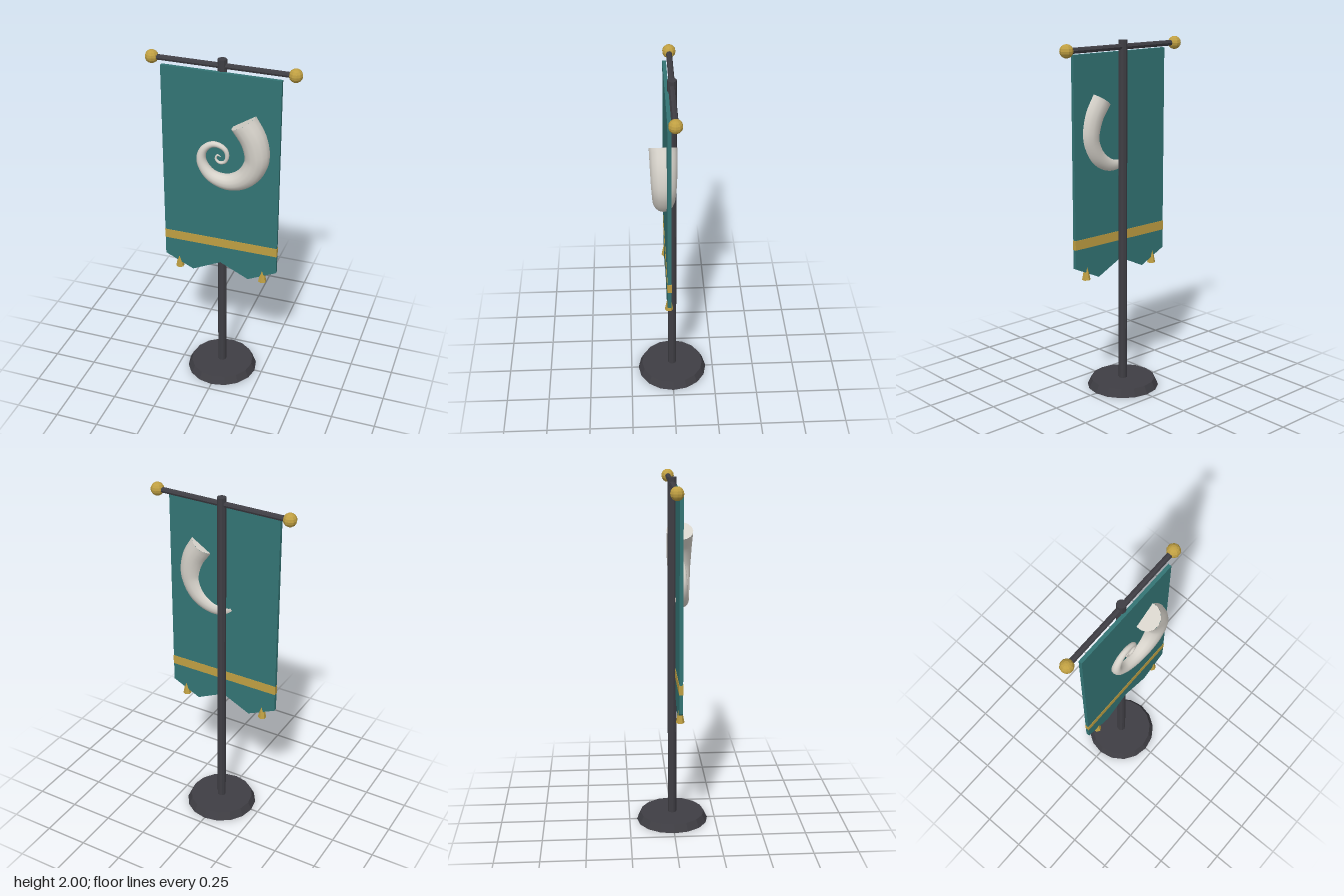
import * as THREE from 'three';

const material = (name, color) => {
  const m = new THREE.MeshStandardMaterial({ color });
  m.name = name;
  return m;
};

// Gives each face its own flat normal
const faceted = (geometry) => {
  const g = geometry.index ? geometry.toNonIndexed() : geometry;
  g.computeVertexNormals();
  return g;
};

// Horn centre line as x, y, radius, from the mouth to the curled tip
const HORN = [
  [0.137, 1.685, 0.076], [0.19, 1.6, 0.073], [0.213, 1.51, 0.069], [0.208, 1.455, 0.065],
  [0.17, 1.38, 0.06], [0.11, 1.333, 0.053], [0.04, 1.315, 0.045], [-0.04, 1.335, 0.036],
  [-0.088, 1.385, 0.03], [-0.104, 1.44, 0.026], [-0.085, 1.495, 0.021], [-0.04, 1.528, 0.017],
  [0, 1.527, 0.015], [0.035, 1.505, 0.013], [0.045, 1.465, 0.011], [0.03, 1.432, 0.009],
  [0, 1.425, 0.008], [-0.02, 1.445, 0.006], [-0.01, 1.468, 0.005], [0.01, 1.46, 0.002],
];
const HORN_Z = 0.052;

// Sweeps a tapering circle along the spiral
function hornGeometry(curve, steps, sides) {
  const positions = [], index = [];
  for (let i = 0; i <= steps; i++) {
    const p = curve.getPoint(i / steps);
    const t = curve.getTangent(i / steps).setZ(0).normalize();
    for (let j = 0; j < sides; j++) {
      const a = (j / sides) * Math.PI * 2;
      const c = Math.cos(a) * p.z, s = Math.sin(a) * p.z;
      positions.push(p.x - t.y * c, p.y + t.x * c, HORN_Z + s);
      if (i < steps) {
        const k = (j + 1) % sides;
        const a0 = i * sides + j, a1 = i * sides + k;
        index.push(a0, a1, a0 + sides, a1, a1 + sides, a0 + sides);
      }
    }
  }
  const g = new THREE.BufferGeometry();
  g.setAttribute('position', new THREE.Float32BufferAttribute(positions, 3));
  g.setIndex(index);
  g.computeVertexNormals();
  return g;
}

export function createModel() {
  const iron = material('dark iron', 0x3f3e44);
  const gold = material('gold', 0xbf9f42);
  const cloth = material('teal cloth', 0x337474);
  const bone = material('bone', 0xd6d2ca);

  const model = new THREE.Group();
  model.name = 'bannerStand';
  const add = (name, geometry, mat, x = 0, y = 0, z = 0) => {
    const mesh = new THREE.Mesh(geometry, mat);
    mesh.name = name;
    mesh.position.set(x, y, z);
    model.add(mesh);
    return mesh;
  };

  // Stand: base, pole and crossbar
  add('base', faceted(new THREE.CylinderGeometry(0.185, 0.207, 0.045, 16)), iron, 0, 0.0225);
  add('pole', faceted(new THREE.CylinderGeometry(0.025, 0.025, 1.96, 10)), iron, 0, 1.02);
  const bar = add('crossbar', faceted(new THREE.CylinderGeometry(0.016, 0.016, 0.76, 8)), iron, 0, 1.963);
  bar.rotation.z = Math.PI / 2;

  // Cloth with two points along the hem
  const outline = new THREE.Shape([
    [-0.332, 1.938], [-0.332, 0.768], [-0.166, 0.69], [0, 0.77],
    [0.166, 0.69], [0.332, 0.768], [0.332, 1.938],
  ].map(([x, y]) => new THREE.Vector2(x, y)));
  add('cloth', new THREE.ExtrudeGeometry(outline, { depth: 0.02, bevelEnabled: false }), cloth, 0, 0, 0.018);
  add('goldBand', new THREE.BoxGeometry(0.666, 0.054, 0.024), gold, 0, 0.903, 0.028);

  // Finials and tassels on both sides
  for (const side of [-1, 1]) {
    add('finial', faceted(new THREE.SphereGeometry(0.037, 10, 8)), gold, side * 0.393, 1.963);
    add('tassel', faceted(new THREE.CylinderGeometry(0.005, 0.024, 0.1, 6)), gold, side * 0.25, 0.74, 0.028);
  }

  // Curled horn emblem with a closed mouth
  const curve = new THREE.CatmullRomCurve3(HORN.map((p) => new THREE.Vector3(...p)));
  add('horn', hornGeometry(curve, 76, 14), bone);
  const tangent = curve.getTangent(0).setZ(0).normalize();
  const mouth = add('hornMouth', new THREE.CircleGeometry(HORN[0][2], 14), bone, HORN[0][0], HORN[0][1], HORN_Z);
  mouth.lookAt(mouth.position.clone().sub(tangent));

  return model;
}
